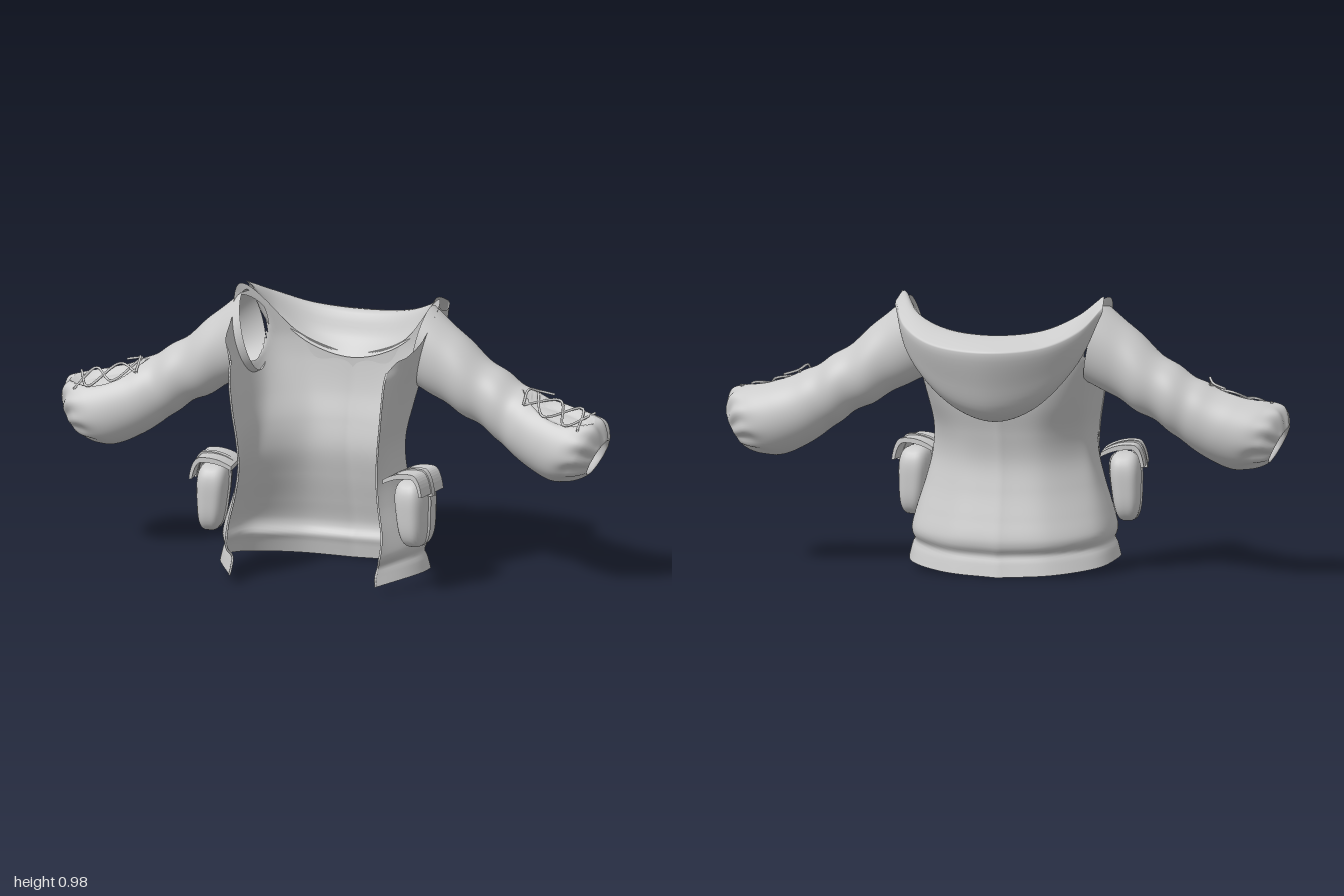
import * as THREE from 'three';
import { mergeVertices } from 'three/addons/utils/BufferGeometryUtils.js';

const cloth = new THREE.MeshStandardMaterial({ color: 0xcccccc, side: THREE.DoubleSide });
const { lerp, clamp, smoothstep } = THREE.MathUtils;

function add(parent, name, geometry) {
  const mesh = new THREE.Mesh(geometry, cloth);
  mesh.name = name;
  parent.add(mesh);
  return mesh;
}

// Smooth curve through [x, value] keys, given as two lists
function spline(xs, ys) {
  const n = xs.length;
  const slope = i => {
    const a = Math.max(i - 1, 0), b = Math.min(i + 1, n - 1);
    return (ys[b] - ys[a]) / (xs[b] - xs[a]);
  };
  return x => {
    x = clamp(x, xs[0], xs[n - 1]);
    let i = 0;
    while (i < n - 2 && x > xs[i + 1]) i++;
    const h = xs[i + 1] - xs[i], t = (x - xs[i]) / h, t2 = t * t, t3 = t2 * t;
    return (2 * t3 - 3 * t2 + 1) * ys[i] + (t3 - 2 * t2 + t) * h * slope(i)
      + (3 * t2 - 2 * t3) * ys[i + 1] + (t3 - t2) * h * slope(i + 1);
  };
}
const columns = rows => rows[0].slice(1).map((_, c) => spline(rows.map(r => r[0]), rows.map(r => r[c + 1])));

// Grid surface from f(u, v) -> Vector3; cells whose corners are all marked .hole are left out
function sheet(f, nu, nv) {
  const pts = [], idx = [];
  for (let j = 0; j <= nv; j++) for (let i = 0; i <= nu; i++) pts.push(f(i / nu, j / nv));
  for (let j = 0; j < nv; j++) for (let i = 0; i < nu; i++) {
    const a = j * (nu + 1) + i, b = a + 1, c = a + nu + 1, d = c + 1;
    if ([a, b, c, d].every(k => pts[k].hole)) continue;
    idx.push(a, b, d, a, d, c);
  }
  let g = new THREE.BufferGeometry().setFromPoints(pts);
  g.setIndex(idx);
  g = mergeVertices(g, 1e-5);
  g.computeVertexNormals();
  return g;
}

// Body: height, back z, half width, front edge x, front edge z
const [backZ, halfW, edgeX, edgeZ] = columns([
  [0, -0.156, 0.368, 0.27, 0.367], [0.05, -0.146, 0.357, 0.265, 0.352], [0.075, -0.14, 0.348, 0.27, 0.34],
  [0.1, -0.154, 0.356, 0.28, 0.363], [0.13, -0.157, 0.357, 0.285, 0.36], [0.2, -0.14, 0.34, 0.283, 0.342],
  [0.3, -0.115, 0.31, 0.265, 0.326], [0.4, -0.1, 0.286, 0.255, 0.316], [0.5, -0.115, 0.28, 0.26, 0.32],
  [0.6, -0.14, 0.295, 0.272, 0.33], [0.7, -0.153, 0.315, 0.282, 0.332], [0.76, -0.155, 0.33, 0.286, 0.32],
  [0.8, -0.153, 0.34, 0.29, 0.295], [0.9, -0.135, 0.365, 0.31, 0.28], [1, -0.115, 0.4, 0.33, 0.27]]);
const T = [0, 0.2, 0.4, 0.6, 0.8, 1];
const hemY = spline(T, [0.003, 0.012, 0.028, 0.045, 0.05, 0.034]);
const topY = spline([0, 0.2, 0.4, 0.6, 0.8, 0.92, 1], [0.72, 0.8, 0.982, 0.88, 0.832, 0.818, 0.785]);

function bodyPoint(u, v) {
  const s = u * 2 - 1, t = Math.abs(s);
  const y = lerp(hemY(t), topY(t), v);
  const k = y - hemY(t) * (1 - v) ** 3;
  const b = backZ(k), w = halfW(k), square = smoothstep(k, 0.45, 0.8);
  const x = spline(T, [0, lerp(0.5, 0.58, square) * w, lerp(0.88, 0.92, square) * w, w, 0.97 * w, edgeX(k)])(t);
  const z = spline(T, [b, b + lerp(0.03, 0.02, square), b + lerp(0.13, 0.09, square), 0.1, 0.22, edgeZ(k)])(t);
  const p = new THREE.Vector3(Math.sign(s) * x, y, z);
  // armhole: points inside the ellipse move out to its rim
  const e = Math.hypot((z + 0.003) / 0.09, (y - 0.83) / 0.115);
  if (e < 1 && t > 0.2) {
    p.hole = true;
    p.y = 0.83 + (y - 0.83) / Math.max(e, 0.05);
    p.z = -0.003 + (z + 0.003) / Math.max(e, 0.05);
  }
  return p;
}

// Hood: half sections from the centre back to the shoulder, each running outside, crest, rim, inside
const hoodSections = [
  [[0, .73, -.15], [0, .565, -.165], [0, .56, -.215], [0, .6, -.28], [0, .7, -.327], [0, .818, -.367], [0, .83, -.357], [0, .866, -.235], [0, .78, -.19], [0, .72, -.14]],
  [[.15, .77, -.14], [.13, .61, -.155], [.14, .605, -.2], [.165, .645, -.25], [.185, .73, -.285], [.2, .835, -.316], [.197, .847, -.306], [.175, .885, -.215], [.16, .8, -.17], [.15, .76, -.13]],
  [[.27, .86, -.125], [.265, .755, -.15], [.28, .75, -.175], [.3, .775, -.2], [.31, .82, -.218], [.313, .885, -.232], [.31, .895, -.225], [.285, .93, -.16], [.27, .89, -.13], [.265, .85, -.115]],
  [[.34, .95, -.08], [.35, .925, -.1], [.36, .925, -.11], [.367, .935, -.12], [.37, .945, -.12], [.37, .96, -.11], [.368, .965, -.1], [.355, .987, -.045], [.34, .975, -.05], [.335, .95, -.07]]];
const hoodRows = hoodSections.map(s => new THREE.CatmullRomCurve3(s.map(p => new THREE.Vector3(...p))));

function hoodPoint(u, v) {
  const ring = hoodRows.map(c => c.getPoint(v));
  const mirror = p => new THREE.Vector3(-p.x, p.y, p.z);
  return new THREE.CatmullRomCurve3([...ring.slice(1).reverse().map(mirror), ...ring]).getPoint(u);
}

// Sleeve: station, centre x, y, z, radius, tilt, depth factor
const [armX, armY, armZ, armR, armTilt, armD] = columns([
  [0, .315, .825, -.003, .143, .22, .76], [1, .41, .76, 0, .123, .36, .87], [2, .52, .682, -.005, .107, .47, 1],
  [3, .62, .622, -.005, .105, .49, 1], [4, .7, .573, .005, .115, .49, 1], [5, .79, .533, .015, .13, .49, 1],
  [6, .87, .508, .025, .137, .49, 1], [7, .925, .5, .027, .122, .49, 1], [8, .96, .482, .022, .085, .49, 1],
  [9, .965, .477, .02, .068, .49, 1], [10, .93, .495, .02, .064, .49, 1]]);
const slitAngle = 0.3;

function armPoint(s, a, lift) {
  const r = armR(s) + lift, tilt = armTilt(s), c = r * Math.cos(a);
  return new THREE.Vector3(armX(s) + c * Math.sin(tilt), armY(s) + c * Math.cos(tilt), armZ(s) + r * Math.sin(a) * armD(s));
}
function sleevePoint(u, v) {
  const a = u * Math.PI * 2, s = v * 10;
  // soft cloth folds, gathered cuff and sunken lace slit
  const folds = 0.004 * Math.sin(s * 5 + 2 * Math.cos(a)) * Math.exp(-((s - 2.4) ** 2) / 2);
  const gathers = 0.007 * Math.cos(a * 11) * Math.exp(-((s - 7.5) ** 2) / 0.9);
  const d = Math.atan2(Math.sin(a - slitAngle), Math.cos(a - slitAngle));
  const width = 0.55 * Math.sin(Math.PI * clamp((s - 3.3) / 3.4, 0, 1));
  const slit = width > 0.01 ? -0.03 * (1 - smoothstep(Math.abs(d), width * 0.6, width)) : 0;
  return armPoint(s, a, folds + gathers + slit);
}

function makeSleeve() {
  const g = new THREE.Group();
  g.name = 'sleeve';
  add(g, 'sleeveCloth', sheet(sleevePoint, 88, 100));
  // crossed laces, with one loose tail
  const lace = pts => new THREE.TubeGeometry(new THREE.CatmullRomCurve3(pts), 48, 0.0045, 6);
  for (const side of [-1, 1]) add(g, 'lace', lace([3.7, 4.6, 5.5, 6.2].map((s, i) =>
    armPoint(s, slitAngle + side * (i % 2 ? 0.5 : -0.5), 0.007))));
  add(g, 'laceTail', lace([[3.7, 0.8], [3.5, 0.3], [3.8, -0.1], [4.3, -0.3]].map(([s, a], i) =>
    armPoint(s, a, 0.01 + 0.008 * (i % 2)))));
  return g;
}

// Curved strip bent over the pouch, extruded across z
function bentStrip(drop, width, grow) {
  const s = new THREE.Shape();
  s.moveTo(0.295, 0.41);
  s.quadraticCurveTo(0.35, 0.445 + grow, 0.41 + grow, 0.437 + grow);
  s.quadraticCurveTo(0.437 + grow, 0.43, 0.446 + grow, drop);
  s.lineTo(0.435, drop);
  s.quadraticCurveTo(0.425, 0.415, 0.405, 0.42);
  s.quadraticCurveTo(0.35, 0.425, 0.295, 0.395);
  return new THREE.ExtrudeGeometry(s, { depth: width, bevelEnabled: false, curveSegments: 8 }).translate(0, 0, 0.247 - width / 2);
}

// Rounded bag: a sphere squared off, leaning along the body and narrowing downwards
function bagGeometry(halfDepth, halfWidth) {
  const g = new THREE.SphereGeometry(1, 40, 28), p = g.attributes.position, q = new THREE.Vector3();
  for (let i = 0; i < p.count; i++) {
    q.fromBufferAttribute(p, i);
    q.divideScalar((Math.abs(q.x) ** 3.5 + Math.abs(q.y) ** 3.5 + Math.abs(q.z) ** 3.5) ** (1 / 3.5));
    const lean = 0.012 * (1 - q.y) * (1 - q.x) / 2, taper = 0.95 + 0.05 * q.y;
    p.setXYZ(i, 0.372 + lean + q.x * halfDepth * taper, 0.285 + q.y * 0.12, 0.238 + q.z * halfWidth * taper);
  }
  g.computeVertexNormals();
  return g;
}

function makePouch() {
  const g = new THREE.Group();
  g.name = 'pouch';
  // turned a little to follow the curve of the body
  g.rotation.y = -0.12;
  g.position.set(0.027, 0, -0.043);
  add(g, 'pouchBag', bagGeometry(0.06, 0.094));
  add(g, 'pouchSeam', bagGeometry(0.066, 0.012));
  add(g, 'pouchFlap', bentStrip(0.36, 0.172, 0));
  add(g, 'pouchStrap', bentStrip(0.35, 0.024, 0.005));
  return g;
}

export function createModel() {
  const model = new THREE.Group();
  model.name = 'hoodedJacket';
  add(model, 'jacketBody', sheet(bodyPoint, 120, 90));
  add(model, 'hood', sheet(hoodPoint, 64, 54));
  for (const [name, sign] of [['left', 1], ['right', -1]]) {
    const side = new THREE.Group();
    side.name = name + 'Side';
    side.scale.x = sign;
    // rolled hem along the front opening
    const edge = Array.from({ length: 25 }, (_, i) => bodyPoint(1, i / 24));
    add(side, 'frontEdge', new THREE.TubeGeometry(new THREE.CatmullRomCurve3(edge), 60, 0.004, 6));
    side.add(makeSleeve(), makePouch());
    model.add(side);
  }
  return model;
}
